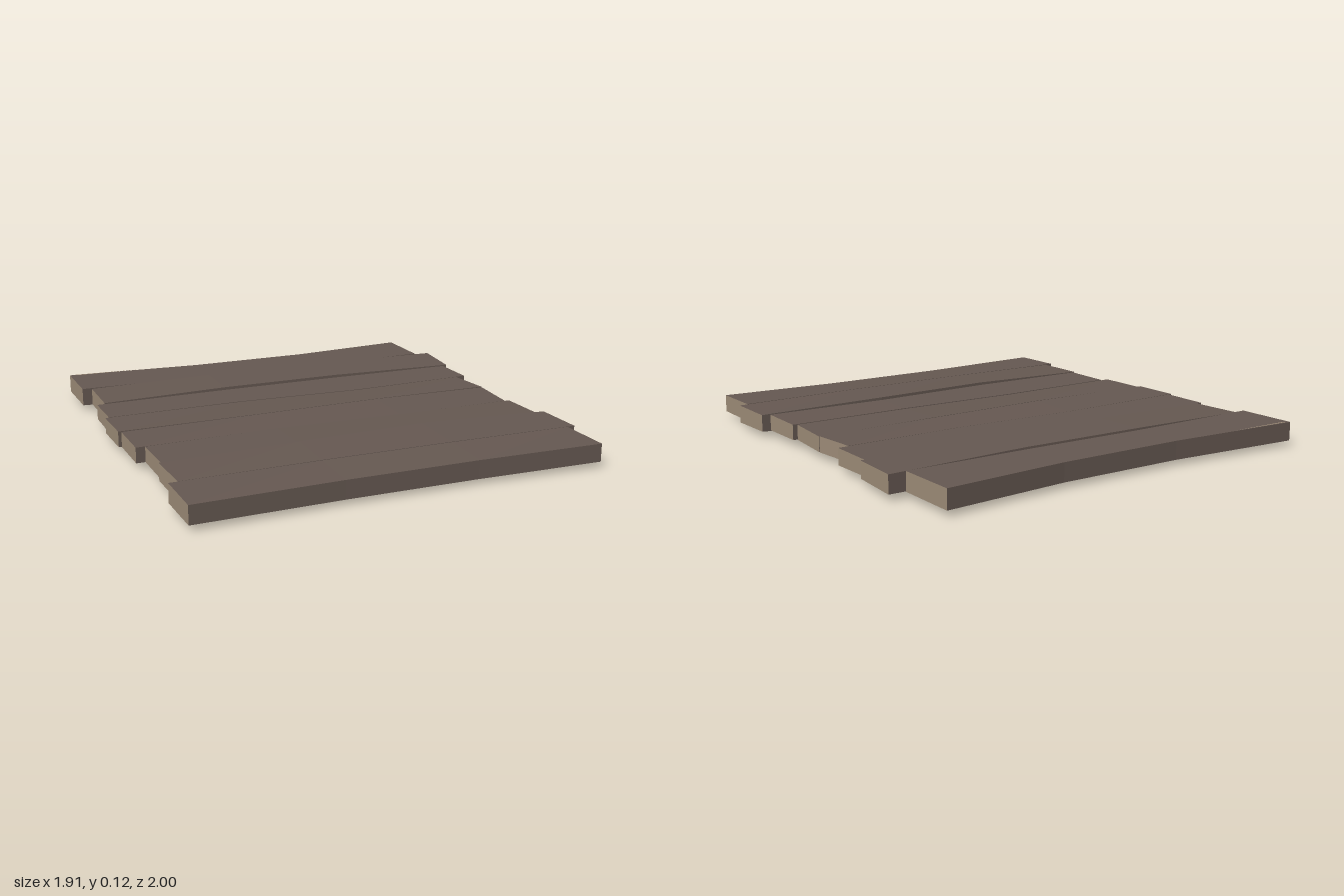
import * as THREE from 'three';

const wood = new THREE.MeshStandardMaterial({ color: 0x655851 });
wood.name = 'weathered brown wood';
const cutWood = new THREE.MeshStandardMaterial({ color: 0x9c8b77 });
cutWood.name = 'pale cut wood';

// Seams between planks, back to front: z at the left end, two inner stations, right end
const seams = [
  [-1, -0.955, -0.955, -1],
  [-0.712, -0.712, -0.7, -0.708],
  [-0.45, -0.458, -0.458, -0.45],
  [-0.22, -0.232, -0.203, -0.22],
  [0.01, 0.016, 0.0, 0.0],
  [0.252, 0.236, 0.255, 0.255],
  [0.49, 0.49, 0.465, 0.49],
  [0.74, 0.74, 0.74, 0.74],
  [1, 0.975, 0.975, 1],
];

// Each plank: end x as [back, front], then [back, front] heights at the ends and in the middle
const planks = [
  { x0: [-0.95, -0.95], x1: [0.88, 0.88], top: [0.115, 0.115], bot: [0.03, 0.032], midTop: [0.113, 0.112], midBot: [0.03, 0.01] },
  { x0: [-0.905, -0.905], x1: [0.955, 0.933], top: [0.112, 0.108], bot: [0.032, 0.032], midTop: [0.12, 0.118], midBot: [0.03, 0.03] },
  { x0: [-0.942, -0.942], x1: [0.91, 0.91], top: [0.105, 0.107], bot: [0.035, 0.032], midTop: [0.106, 0.106], midBot: [0.031, 0.02] },
  { x0: [-0.96, -0.958], x1: [0.86, 0.882], top: [0.107, 0.108], bot: [0.035, 0.036], midTop: [0.105, 0.112], midBot: [0.034, 0.03] },
  { x0: [-0.945, -0.945], x1: [0.882, 0.86], top: [0.106, 0.106], bot: [0.036, 0.036], midTop: [0.112, 0.106], midBot: [0.03, 0.036] },
  { x0: [-0.905, -0.905], x1: [0.88, 0.88], top: [0.107, 0.11], bot: [0.037, 0.036], midTop: [0.108, 0.112], midBot: [0.02, 0.034] },
  { x0: [-0.915, -0.91], x1: [0.92, 0.92], top: [0.112, 0.113], bot: [0.034, 0.03], midTop: [0.124, 0.118], midBot: [0.005, 0.01] },
  { x0: [-0.95, -0.95], x1: [0.88, 0.88], top: [0.114, 0.113], bot: [0.03, 0.032], midTop: [0.118, 0.11], midBot: [0.012, 0.028] },
];

// Lofts a bent board through four cross-sections; group 0 is wood, group 1 the cut ends
function plankGeometry(p, back, front) {
  const gap = 0.0025;
  const sections = [0, 1, 2, 3].map((i) => {
    const mid = i === 1 || i === 2;
    const x = mid ? [i === 1 ? -0.3 : 0.3, i === 1 ? -0.3 : 0.3] : i === 0 ? p.x0 : p.x1;
    const top = mid ? p.midTop : p.top;
    const bot = mid ? p.midBot : p.bot;
    const zb = back[i] + gap, zf = front[i] - gap;
    return [
      [x[0], bot[0], zb], [x[1], bot[1], zf],
      [x[1], top[1], zf], [x[0], top[0], zb],
    ];
  });
  const pos = [];
  const quad = (a, b, c, d) => [a, b, c, a, c, d].forEach((v) => pos.push(...v));
  for (let i = 0; i < 3; i++) {
    const s = sections[i], t = sections[i + 1];
    for (let k = 0; k < 4; k++) {
      const n = (k + 1) % 4;
      quad(s[k], t[k], t[n], s[n]);
    }
  }
  const sides = pos.length / 3;
  const [l, r] = [sections[0], sections[3]];
  quad(l[0], l[1], l[2], l[3]);
  quad(r[3], r[2], r[1], r[0]);
  const g = new THREE.BufferGeometry();
  g.setAttribute('position', new THREE.Float32BufferAttribute(pos, 3));
  g.addGroup(0, sides, 0);
  g.addGroup(sides, pos.length / 3 - sides, 1);
  g.computeVertexNormals();
  return g;
}

export function createModel() {
  const model = new THREE.Group();
  model.name = 'plankPlatform';

  planks.forEach((p, i) => {
    const mesh = new THREE.Mesh(plankGeometry(p, seams[i], seams[i + 1]), [wood, cutWood]);
    mesh.name = 'plank' + (i + 1);
    model.add(mesh);
  });

  // Pale splintered sliver on the back right corner
  const sliver = new THREE.BufferGeometry();
  sliver.setAttribute('position', new THREE.Float32BufferAttribute([
    -0.94, 0.1165, -0.994, -0.92, 0.1165, -0.982, -0.6, 0.1155, -0.973,
  ], 3));
  sliver.computeVertexNormals();
  const chip = new THREE.Mesh(sliver, cutWood);
  chip.name = 'splinteredCorner';
  model.add(chip);

  return model;
}
